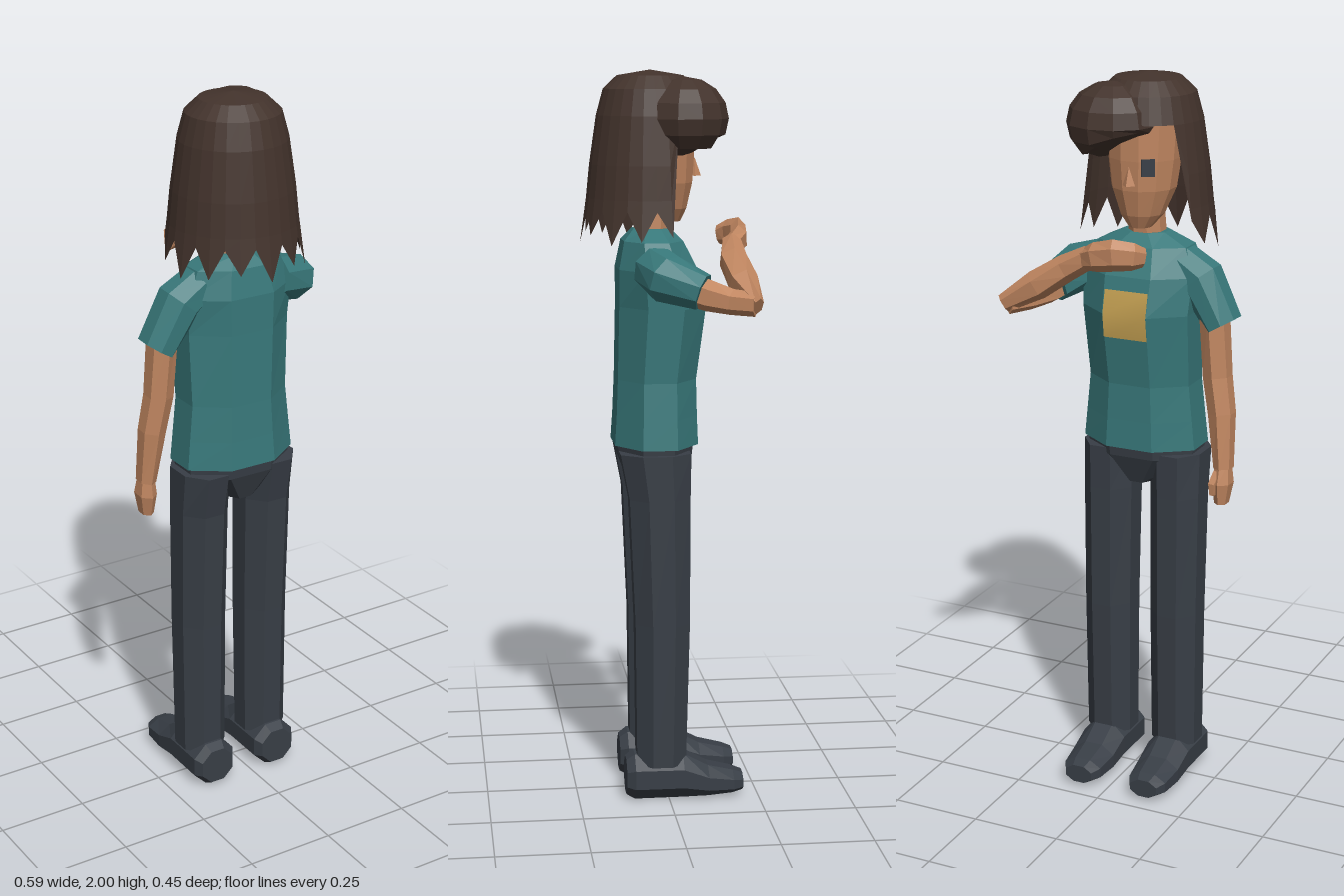
import * as THREE from 'three';

const mat = (name, color, extra = {}) =>
  Object.assign(new THREE.MeshStandardMaterial({ color, ...extra }), { name });

// Faceted geometry from a vertex list and triangle indices
function faceted(pos, idx) {
  const g = new THREE.BufferGeometry();
  g.setAttribute('position', new THREE.Float32BufferAttribute(pos, 3));
  g.setIndex(idx);
  const flat = g.toNonIndexed();
  flat.computeVertexNormals();
  return flat;
}

// Capped loft through elliptical rings [x, y, z, ru, rv].
// ref steers the ring axes; axis, if given, keeps all rings parallel.
function loft(rings, sides, ref, axis) {
  const pos = [], idx = [], n = rings.length;
  const c = rings.map(r => new THREE.Vector3(r[0], r[1], r[2]));
  const k = 1 / Math.cos(Math.PI / sides);
  rings.forEach((r, i) => {
    const t = axis ? axis.clone() : c[Math.min(i + 1, n - 1)].clone().sub(c[Math.max(i - 1, 0)]).normalize();
    const u = ref.clone().cross(t).normalize(), v = t.clone().cross(u);
    for (let j = 0; j < sides; j++) {
      const a = (j + 0.5) / sides * Math.PI * 2;
      const p = c[i].clone().addScaledVector(u, Math.cos(a) * r[3] * k)
        .addScaledVector(v, Math.sin(a) * (r[4] ?? r[3]) * k);
      pos.push(p.x, p.y, p.z);
    }
  });
  pos.push(...c[0].toArray(), ...c[n - 1].toArray());
  for (let j = 0; j < sides; j++) {
    const q = (j + 1) % sides, e = (n - 1) * sides;
    for (let i = 0; i < n - 1; i++) {
      const a = i * sides + j, b = i * sides + q;
      idx.push(a, b, b + sides, a, b + sides, a + sides);
    }
    idx.push(n * sides, q, j, n * sides + 1, e + j, e + q);
  }
  return faceted(pos, idx);
}

// Piecewise linear lookup in [[key, value], ...] with falling keys
function lookup(table, y) {
  for (let i = 1; i < table.length; i++) {
    const [y0, v0] = table[i - 1], [y1, v1] = table[i];
    if (y >= y1) return v0 + (v1 - v0) * (y0 - y) / (y0 - y1);
  }
  return table[table.length - 1][1];
}

// Open-faced hair shell with a zigzag hem
function hairShell() {
  const N = 28, rows = [2, 1.985, 1.95, 1.88, 1.75, 1.66, 1.5];
  const radius = [[2, 0], [1.985, 0.09], [1.95, 0.127], [1.88, 0.146], [1.75, 0.165], [1.66, 0.174], [1.53, 0.192]];
  const pos = [], idx = [];
  rows.forEach((row, i) => {
    for (let j = 0; j < N; j++) {
      const a = (j / N) * Math.PI * 2 - Math.PI, deg = a * 180 / Math.PI;
      const open = deg > -54 && deg < 72;
      const hem = open ? 1.88 : j % 2 ? 1.63 : 1.54 + 0.012 * (j % 3);
      const y = i === rows.length - 1 ? hem : Math.max(row, hem);
      const r = lookup(radius, y);
      pos.push(-0.02 + r * Math.sin(a), y, 0.037 - r * Math.cos(a));
      if (i < rows.length - 1) {
        const p = i * N + j, q = i * N + (j + 1) % N;
        idx.push(p, q, q + N, p, q + N, p + N);
      }
    }
  });
  return faceted(pos, idx);
}

// Puffy swept fringe: an ellipsoid cut by a slanted plane
function fringe() {
  const g = new THREE.SphereGeometry(1, 11, 8);
  g.scale(0.125, 0.11, 0.117).translate(0.042, 1.872, -0.05);
  const p = g.attributes.position;
  for (let i = 0; i < p.count; i++) {
    const cut = 1.84 - 0.45 * p.getX(i) - 0.3 * (p.getZ(i) + 0.12);
    p.setY(i, Math.max(p.getY(i), cut));
  }
  const flat = g.toNonIndexed();
  flat.computeVertexNormals();
  return flat;
}

export function createModel() {
  const root = new THREE.Group();
  root.name = 'figure';
  const skin = mat('skin', 0xc08660), shirt = mat('teal shirt', 0x38787a);
  const dark = mat('dark trousers', 0x383e46), gold = mat('gold patch', 0xc4a052);
  const hair = mat('brown hair', 0x43332c, { side: THREE.DoubleSide });
  const X = new THREE.Vector3(1, 0, 0), Y = new THREE.Vector3(0, 1, 0), Z = new THREE.Vector3(0, 0, 1);
  const down = Y.clone().negate(), forward = Z.clone().negate();
  const add = (name, geo, material) => {
    const m = new THREE.Mesh(geo, material);
    m.name = name;
    root.add(m);
    return m;
  };

  // Legs and shoes
  for (const [side, x] of [['right', -0.122], ['left', 0.08]]) {
    add(side + 'Leg', loft([
      [x, 0.975, 0.035, 0.073, 0.096], [x, 0.85, 0.024, 0.072, 0.083], [x, 0.5, 0.017, 0.069, 0.075],
      [x, 0.1, 0.02, 0.066, 0.068]], 8, Z, down), dark);
    add(side + 'Shoe', loft([
      [x, 0.063, 0.118, 0.05, 0.05], [x, 0.065, 0.095, 0.064, 0.064], [x, 0.064, -0.04, 0.063, 0.063],
      [x, 0.046, -0.11, 0.062, 0.044], [x, 0.04, -0.18, 0.055, 0.033], [x, 0.038, -0.208, 0.04, 0.025]],
      8, Y, forward), dark);
  }
  add('pelvis', loft([
    [-0.02, 1.01, 0.03, 0.158, 0.105], [-0.02, 0.96, 0.03, 0.155, 0.1], [-0.02, 0.88, 0.03, 0.045, 0.07]],
    8, Z, down), dark);

  // Shirt body
  add('shirtBody', loft([
    [-0.018, 1.577, 0.035, 0.06, 0.05], [-0.018, 1.545, 0.033, 0.128, 0.08], [-0.016, 1.47, 0.022, 0.16, 0.106],
    [-0.016, 1.37, 0.01, 0.154, 0.118], [-0.02, 1.17, 0.025, 0.147, 0.107], [-0.02, 1.07, 0.026, 0.157, 0.11],
    [-0.02, 0.99, 0.027, 0.165, 0.114]], 8, Z, down), shirt);

  // Chest patch bent to follow the shirt front
  const patch = new THREE.PlaneGeometry(0.126, 0.13, 1, 2).rotateY(Math.PI).translate(-0.018, 1.37, 0);
  const pp = patch.attributes.position;
  for (let i = 0; i < pp.count; i++) {
    pp.setZ(i, lookup([[1.47, -0.084], [1.37, -0.108], [1.17, -0.082]], pp.getY(i)) - 0.004);
  }
  patch.computeVertexNormals();
  add('chestPatch', patch, gold);

  // Hanging right arm
  add('rightSleeve', loft([
    [-0.12, 1.5, 0.03, 0.05, 0.055], [-0.18, 1.46, 0.028, 0.058, 0.06], [-0.25, 1.342, 0.022, 0.045, 0.06]],
    8, Z), shirt);
  add('rightArm', loft([
    [-0.225, 1.38, 0.015, 0.035, 0.04], [-0.238, 1.2, 0.012, 0.035], [-0.255, 1.1, 0.004, 0.033],
    [-0.268, 0.95, -0.01, 0.023, 0.028]], 6, Z), skin);
  add('rightHand', loft([
    [-0.268, 0.965, -0.01, 0.018, 0.024], [-0.268, 0.91, -0.014, 0.024, 0.035], [-0.266, 0.852, -0.016, 0.016, 0.024]],
    6, Z), skin);
  add('rightThumb', loft([
    [-0.258, 0.94, -0.025, 0.012], [-0.25, 0.91, -0.042, 0.012], [-0.25, 0.88, -0.044, 0.007]], 5, X), skin);

  // Left arm folded across the chest
  add('leftSleeve', loft([
    [0.1, 1.475, 0.035, 0.06], [0.175, 1.457, 0.012, 0.066, 0.06], [0.212, 1.425, -0.078, 0.055, 0.046]],
    8, Y), shirt);
  add('leftUpperArm', loft([
    [0.2, 1.43, -0.05, 0.042, 0.038], [0.215, 1.415, -0.095, 0.038, 0.036], [0.242, 1.402, -0.15, 0.026, 0.03],
    [0.275, 1.398, -0.208, 0.018, 0.028]], 6, Y), skin);
  add('leftForearm', loft([
    [0.288, 1.395, -0.213, 0.012, 0.022], [0.2, 1.45, -0.186, 0.036, 0.035], [0.12, 1.502, -0.17, 0.034, 0.032],
    [0.05, 1.54, -0.176, 0.024, 0.027]], 6, Y), skin);
  add('leftHand', loft([
    [0.065, 1.532, -0.174, 0.022, 0.026], [0.02, 1.548, -0.2, 0.022, 0.034], [-0.035, 1.56, -0.206, 0.021, 0.037],
    [-0.08, 1.556, -0.185, 0.018, 0.032], [-0.1, 1.55, -0.16, 0.01, 0.022]], 6, Y), skin);

  // Neck, head and face
  add('neck', loft([[-0.02, 1.67, 0.025, 0.043], [-0.02, 1.55, 0.035, 0.048]], 8, Z, down), skin);
  add('head', loft([
    [-0.02, 1.95, 0.02, 0.06], [-0.02, 1.88, 0.02, 0.1], [-0.02, 1.78, 0.015, 0.095], [-0.02, 1.7, 0.01, 0.085],
    [-0.02, 1.63, 0, 0.058, 0.06], [-0.02, 1.595, -0.012, 0.03, 0.032]], 12, Z, down), skin);
  const nose = new THREE.ConeGeometry(0.018, 0.05, 4, 1).toNonIndexed();
  nose.computeVertexNormals();
  add('nose', nose, skin).position.set(-0.02, 1.742, -0.084);
  const eye = add('rightEye', new THREE.BoxGeometry(0.036, 0.046, 0.008), dark);
  eye.position.set(-0.0675, 1.765, -0.067);
  eye.rotation.y = Math.PI / 6;

  // Hair
  add('longHair', hairShell(), hair);
  add('fringe', fringe(), hair);
  return root;
}
